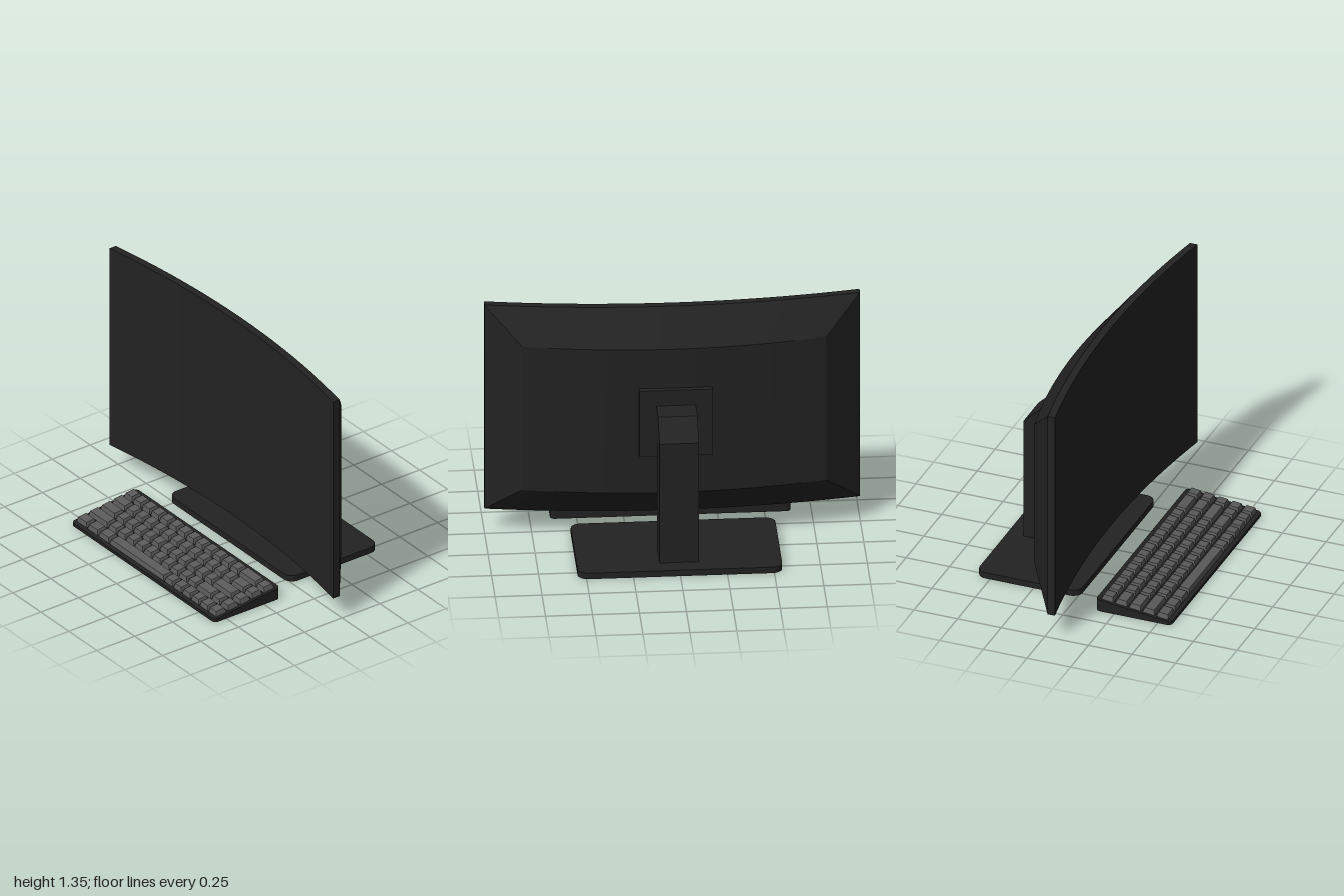
import * as THREE from 'three';
import { toCreasedNormals } from 'three/addons/utils/BufferGeometryUtils.js';

const plastic = new THREE.MeshStandardMaterial({ color: 0x222222 });
plastic.name = 'black plastic';
const keyGrey = new THREE.MeshStandardMaterial({ color: 0x5a5a5a });
keyGrey.name = 'key grey';

function add(parent, name, geometry, material = plastic, x = 0, y = 0, z = 0) {
  const mesh = new THREE.Mesh(geometry, material);
  mesh.name = name;
  mesh.position.set(x, y, z);
  parent.add(mesh);
  return mesh;
}

// Flat slab with rounded corners, standing on y = 0
function roundedSlab(w, d, h, r) {
  const s = new THREE.Shape();
  const x = w / 2, y = d / 2;
  s.absarc(x - r, y - r, r, 0, Math.PI / 2);
  s.absarc(-x + r, y - r, r, Math.PI / 2, Math.PI);
  s.absarc(-x + r, -y + r, r, Math.PI, Math.PI * 1.5);
  s.absarc(x - r, -y + r, r, Math.PI * 1.5, Math.PI * 2);
  const g = new THREE.ExtrudeGeometry(s, { depth: h, bevelEnabled: false, curveSegments: 6 });
  return g.rotateX(-Math.PI / 2);
}

// Curved panel: one six-point section swept across the width, tapering behind
function displayGeometry() {
  const section = [ // width scale, y, z at the middle
    [1, 0.14, -0.03], [1, 1.35, -0.03], [1, 1.35, -0.072],
    [0.81, 1.17, -0.225], [0.81, 0.32, -0.225], [1, 0.14, -0.072],
  ];
  const cols = 20, n = section.length, pos = [], index = [];
  for (let i = 0; i <= cols; i++) {
    const u = (i / cols) * 2 - 1;
    for (const [s, y, z] of section) pos.push(u * s, y, z + 0.088 * u * u);
  }
  const quad = (a, b, c, d) => index.push(a, b, c, a, c, d);
  for (let i = 0; i < cols; i++) {
    for (let k = 0; k < n; k++) {
      const k2 = (k + 1) % n, a = i * n, b = a + n;
      quad(a + k, b + k, b + k2, a + k2);
    }
  }
  const e = cols * n;
  quad(e, e + 5, e + 2, e + 1);
  quad(e + 5, e + 4, e + 3, e + 2);
  quad(0, 1, 2, 5);
  quad(5, 2, 3, 4);
  const g = new THREE.BufferGeometry();
  g.setAttribute('position', new THREE.Float32BufferAttribute(pos, 3));
  g.setIndex(index);
  return toCreasedNormals(g, 0.3);
}

function buildMonitor() {
  const monitor = new THREE.Group();
  monitor.name = 'monitor';
  add(monitor, 'curvedDisplay', displayGeometry());
  add(monitor, 'mountPlate', new THREE.BoxGeometry(0.39, 0.39, 0.05), plastic, 0, 0.745, -0.228);

  // Neck: side profile (x = distance behind, y = height) extruded across
  const profile = [
    [0.25, 0.645], [0.295, 0.645], [0.295, 0.03], [0.487, 0.03],
    [0.487, 0.74], [0.375, 0.845], [0.33, 0.85], [0.25, 0.85],
  ].map(([x, y]) => new THREE.Vector2(x, y));
  const neck = new THREE.ExtrudeGeometry(new THREE.Shape(profile), { depth: 0.21, bevelEnabled: false });
  neck.translate(0, 0, -0.105).rotateY(Math.PI / 2);
  add(monitor, 'neck', neck);

  add(monitor, 'base', toCreasedNormals(roundedSlab(1.09, 0.59, 0.035, 0.055), 0.5), plastic, 0, 0, -0.285);
  return monitor;
}

// Tapered key cap resting on y = 0
function keyGeometry(w, d, h) {
  const g = new THREE.BoxGeometry(w, h, d).translate(0, h / 2, 0);
  const p = g.attributes.position;
  for (let i = 0; i < p.count; i++) {
    if (p.getY(i) > h / 2) {
      p.setX(i, p.getX(i) - Math.sign(p.getX(i)) * 0.008);
      p.setZ(i, p.getZ(i) - Math.sign(p.getZ(i)) * 0.009);
    }
  }
  g.computeVertexNormals();
  return g;
}

function buildKeyboard() {
  const keyboard = new THREE.Group();
  keyboard.name = 'keyboard';
  const front = 0.577, slope = 0.123;
  const topAt = (z) => 0.018 + slope * (front - z);

  // Wedge case
  const shell = roundedSlab(1.28, 0.432, 0.05, 0.025).translate(0, 0, 0.361);
  const p = shell.attributes.position;
  for (let i = 0; i < p.count; i++) {
    if (p.getY(i) > 0.02) p.setY(i, topAt(p.getZ(i)));
  }
  add(keyboard, 'keyboardCase', toCreasedNormals(shell, 0.5));

  // Key widths in units, back row first
  const ones = (n) => Array(n).fill(1);
  const rows = [
    [...ones(13), 2, 1],
    [1.5, ...ones(12), 1.5, 1],
    [1.75, ...ones(11), 2.25, 1],
    [2.25, ...ones(10), 1.75, 1, 1],
    [1.25, 1.25, 1.25, 6.25, ...ones(6)],
  ];
  const unit = 0.0785;
  rows.forEach((row, r) => {
    const z = 0.205 + r * unit;
    let x = -8 * unit;
    for (const w of row) {
      const key = add(keyboard, 'key', keyGeometry(w * unit - 0.009, 0.069, 0.028), keyGrey,
        x + (w * unit) / 2, topAt(z) - 0.001, z);
      key.rotation.x = Math.atan(slope);
      x += w * unit;
    }
  });
  return keyboard;
}

export function createModel() {
  const model = new THREE.Group();
  model.name = 'desktopSet';
  model.add(buildMonitor(), buildKeyboard());
  return model;
}
